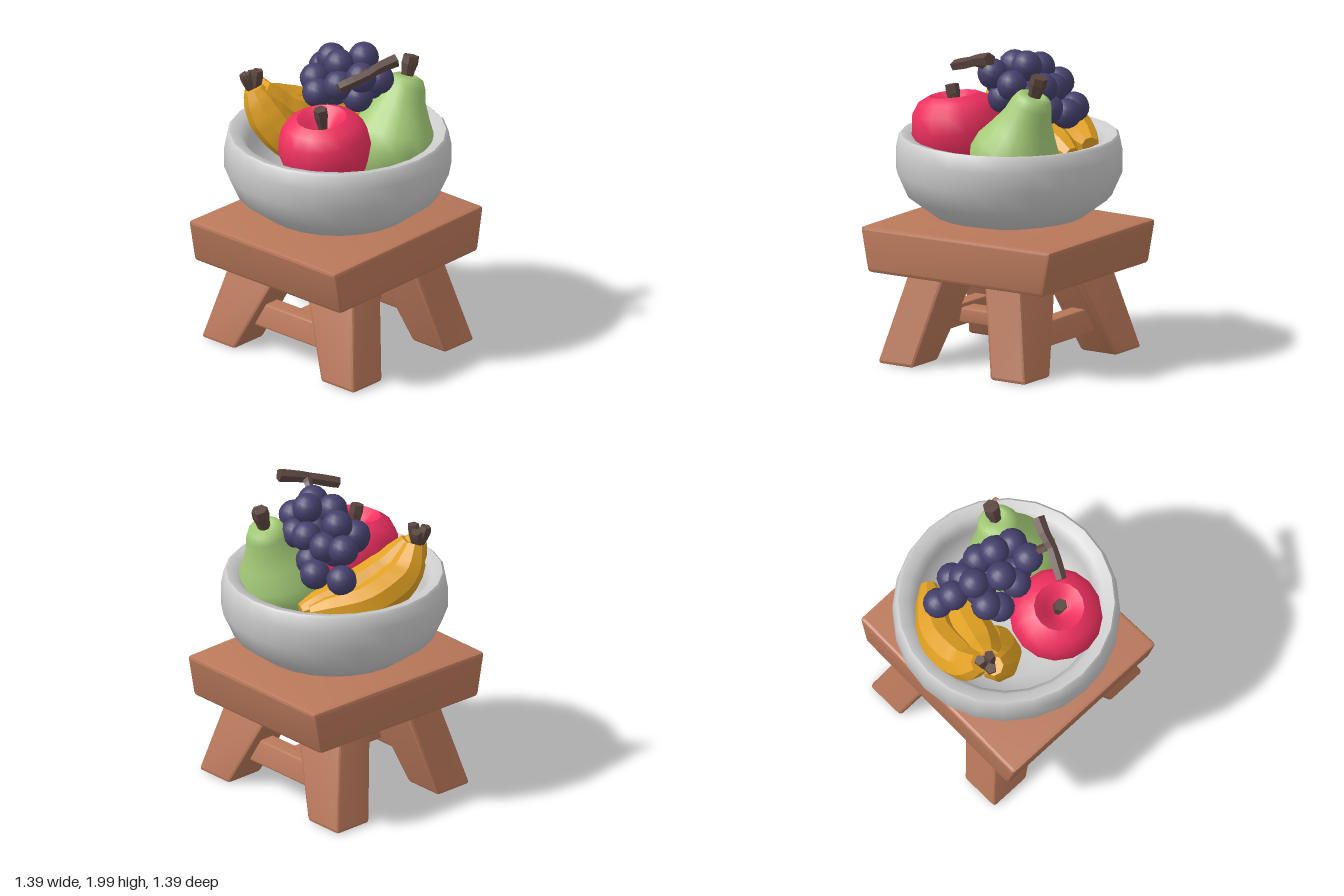
import * as THREE from 'three';
import { toCreasedNormals } from 'three/addons/utils/BufferGeometryUtils.js';
import { RoundedBoxGeometry } from 'three/addons/geometries/RoundedBoxGeometry.js';

const mat = (color, extra = {}) => new THREE.MeshStandardMaterial({ color, ...extra });
const WOOD = mat(0xb9785a);
const BOWL = mat(0xcccccc);
const APPLE = mat(0xf03060);
const PEAR = mat(0xa5cc78);
const BANANA = mat(0xe0a022);
const GRAPE = mat(0x45406c);
const STEM = mat(0x5c4640, { flatShading: true });
const { lerp } = THREE.MathUtils;

function add(parent, name, geometry, material) {
  const mesh = new THREE.Mesh(geometry, material);
  mesh.name = name;
  parent.add(mesh);
  return mesh;
}

function addGroup(parent, name) {
  const group = new THREE.Group();
  group.name = name;
  parent.add(group);
  return group;
}

// Soft-edged box running from a bottom rectangle to a top one, each [x0, x1, z0, z1]
function taperBox(y0, y1, bottom, top, radius = 0.02, skew = 0) {
  const w = bottom[1] - bottom[0], h = y1 - y0, d = bottom[3] - bottom[2];
  const geo = new RoundedBoxGeometry(w, h, d, 1, radius);
  const p = geo.attributes.position;
  for (let i = 0; i < p.count; i++) {
    const u = p.getX(i) / w + 0.5, v = p.getY(i) / h + 0.5, t = p.getZ(i) / d + 0.5;
    const [a, b, c, e] = bottom.map((n, k) => lerp(n, top[k], v));
    const x = lerp(a, b, u);
    p.setXYZ(i, x, lerp(y0, y1, v), lerp(c, e, t) * (1 - skew * x));
  }
  return toCreasedNormals(geo, 0.4);
}

// Rectangle mirrored into the quadrant given by the signs sx, sz
function mirrorRect([a, b, c, d], sx, sz) {
  return [...(sx > 0 ? [a, b] : [-b, -a]), ...(sz > 0 ? [c, d] : [-d, -c])];
}

// Tube whose radius follows a list, with flat caps at both ends
function taperTube(points, radii, segments, sides) {
  const curve = new THREE.CatmullRomCurve3(points.map((q) => new THREE.Vector3(...q)), false, 'catmullrom', 0.4);
  const geo = new THREE.TubeGeometry(curve, segments, 1, sides, false);
  const p = geo.attributes.position, v = new THREE.Vector3();
  for (let i = 0; i < p.count; i++) {
    const ring = Math.floor(i / (sides + 1));
    const s = ring / segments;
    const isCap = ring === 0 || ring === segments;
    const centre = curve.getPointAt(s);
    const f = s * (radii.length - 1), k = Math.min(Math.floor(f), radii.length - 2);
    v.fromBufferAttribute(p, i).sub(centre).multiplyScalar(isCap ? 0 : lerp(radii[k], radii[k + 1], f - k));
    // Cap centres lie in the plane of the neighbouring ring
    if (isCap) centre.copy(curve.getPointAt((ring === 0 ? 1 : segments - 1) / segments));
    p.setXYZ(i, centre.x + v.x, centre.y + v.y, centre.z + v.z);
  }
  return toCreasedNormals(geo, 0.6);
}

function lathe(profile, sides, crease) {
  const geo = new THREE.LatheGeometry(profile.map((q) => new THREE.Vector2(...q)), sides);
  return crease ? toCreasedNormals(geo, crease) : geo;
}

function buildStool(root) {
  const stool = addGroup(root, 'stool');
  add(stool, 'seat', taperBox(0.555, 0.84, [-0.64, 0.64, -0.595, 0.595], [-0.695, 0.695, -0.595, 0.595], 0.022, 0.036), WOOD);
  for (const sx of [1, -1]) {
    for (const sz of [1, -1]) {
      add(stool, 'leg', taperBox(0, 0.6,
        mirrorRect([0.285, 0.55, 0.36, 0.635], sx, sz),
        mirrorRect([0.14, 0.405, 0.08, 0.49], sx, sz)), WOOD);
    }
    add(stool, 'sideRung', taperBox(0.15, 0.3,
      mirrorRect([0.33, 0.44, -0.38, 0.38], sx, 1),
      mirrorRect([0.3, 0.41, -0.36, 0.36], sx, 1), 0.012), WOOD);
  }
  add(stool, 'crossRung', taperBox(0.18, 0.275, [-0.38, 0.38, -0.07, 0.07], [-0.38, 0.38, -0.07, 0.07], 0.012), WOOD);
}

function buildBowl(root) {
  const profile = [
    [0, 0.84], [0.23, 0.84], [0.47, 0.9], [0.63, 1.02], [0.697, 1.17], [0.697, 1.3], [0.68, 1.385], [0.665, 1.4],
    [0.6, 1.385], [0.555, 1.32], [0.56, 1.22], [0.5, 1.09], [0.35, 0.99], [0, 0.95],
  ];
  add(root, 'bowl', lathe(profile, 24, 0.75), BOWL);
}

function buildApple(root) {
  const apple = addGroup(root, 'apple');
  const profile = [
    [0, -0.2], [0.08, -0.24], [0.18, -0.2], [0.255, -0.1], [0.287, 0.02],
    [0.272, 0.13], [0.225, 0.2], [0.155, 0.235], [0.09, 0.19], [0.035, 0.12], [0, 0.11],
  ];
  add(apple, 'appleBody', lathe(profile, 16, 0.85), APPLE);
  add(apple, 'appleStem', taperTube([[0, 0.08, 0], [0, 0.2, 0], [-0.01, 0.35, 0]], [0.025, 0.03, 0.047, 0.035], 5, 6), STEM);
  apple.position.set(-0.28, 1.4, 0.15);
  apple.rotation.z = 0.13;
}

function buildPear(root) {
  const pear = addGroup(root, 'pear');
  const profile = [
    [0, -0.26], [0.14, -0.23], [0.245, -0.13], [0.285, 0], [0.262, 0.1], [0.2, 0.21],
    [0.15, 0.31], [0.13, 0.39], [0.105, 0.44], [0.06, 0.46], [0, 0.42],
  ];
  add(pear, 'pearBody', lathe(profile, 16), PEAR);
  add(pear, 'pearStem', taperTube([[0, 0.38, 0], [0, 0.48, 0], [-0.005, 0.63, 0]], [0.035, 0.04, 0.058, 0.042], 5, 6), STEM);
  pear.position.set(0.205, 1.3, 0.25);
  pear.rotation.z = -0.34;
}

function buildBananas(root) {
  const bunch = addGroup(root, 'bananas');
  const radii = [0.045, 0.1, 0.125, 0.125, 0.115, 0.09, 0.035];
  const paths = [
    [[-0.27, 1.7, -0.45], [-0.13, 1.5, -0.49], [0.15, 1.38, -0.45], [0.47, 1.32, -0.22]],
    [[-0.29, 1.69, -0.41], [-0.14, 1.48, -0.33], [0.1, 1.36, -0.24], [0.43, 1.27, -0.1]],
    [[-0.32, 1.69, -0.43], [-0.27, 1.48, -0.33], [-0.19, 1.32, -0.22], [-0.02, 1.18, -0.12]],
  ];
  for (const path of paths) add(bunch, 'banana', taperTube(path, radii, 18, 8), BANANA);
  // Short stalks leaning away from the shared crown
  for (const [x, y, z] of [[-0.245, 1.75, -0.475], [-0.275, 1.78, -0.41], [-0.345, 1.76, -0.465]]) {
    add(bunch, 'bananaStalk', taperTube([[-0.29, 1.62, -0.43], [lerp(-0.29, x, 0.6), 1.69, lerp(-0.43, z, 0.6)], [x, y + 0.02, z]],
      [0.035, 0.035, 0.04, 0.03], 6, 5), STEM);
  }
}

function buildGrapes(root) {
  const grapes = addGroup(root, 'grapes');
  const berry = new THREE.SphereGeometry(0.094, 14, 10);
  const centres = [
    [0.03, 1.83, -0.015], [0.17, 1.855, 0.06], [0.005, 1.81, 0.19], [0.155, 1.755, 0.2], [0.12, 1.8, -0.16],
    [0.25, 1.53, -0.34], [0.18, 1.69, -0.28], [0.31, 1.53, -0.165], [0.24, 1.71, -0.01], [-0.01, 1.7, -0.18],
    [-0.06, 1.64, -0.115], [-0.04, 1.73, 0.045], [0.22, 1.68, -0.15], [0.04, 1.65, 0.13], [0.21, 1.68, 0.12],
    [0.25, 1.57, -0.06], [0.13, 1.61, 0.03], [0.1, 1.6, -0.12],
  ];
  for (const c of centres) add(grapes, 'grape', berry, GRAPE).position.set(...c);
  // Branching stalk
  add(grapes, 'grapeStalk', taperTube([[-0.29, 1.82, 0.21], [-0.07, 1.895, 0.32], [0.0, 1.92, 0.335], [0.16, 1.96, 0.4]],
    [0.032, 0.038, 0.034, 0.04, 0.044], 10, 5), STEM);
  add(grapes, 'grapeStalkBranch', taperTube([[-0.06, 1.9, 0.325], [-0.03, 1.88, 0.27], [0.005, 1.83, 0.2]],
    [0.03, 0.028, 0.025], 5, 5), STEM);
}

export function createModel() {
  const root = new THREE.Group();
  root.name = 'fruitBowlOnStool';
  buildStool(root);
  buildBowl(root);
  buildApple(root);
  buildPear(root);
  buildBananas(root);
  buildGrapes(root);
  return root;
}
